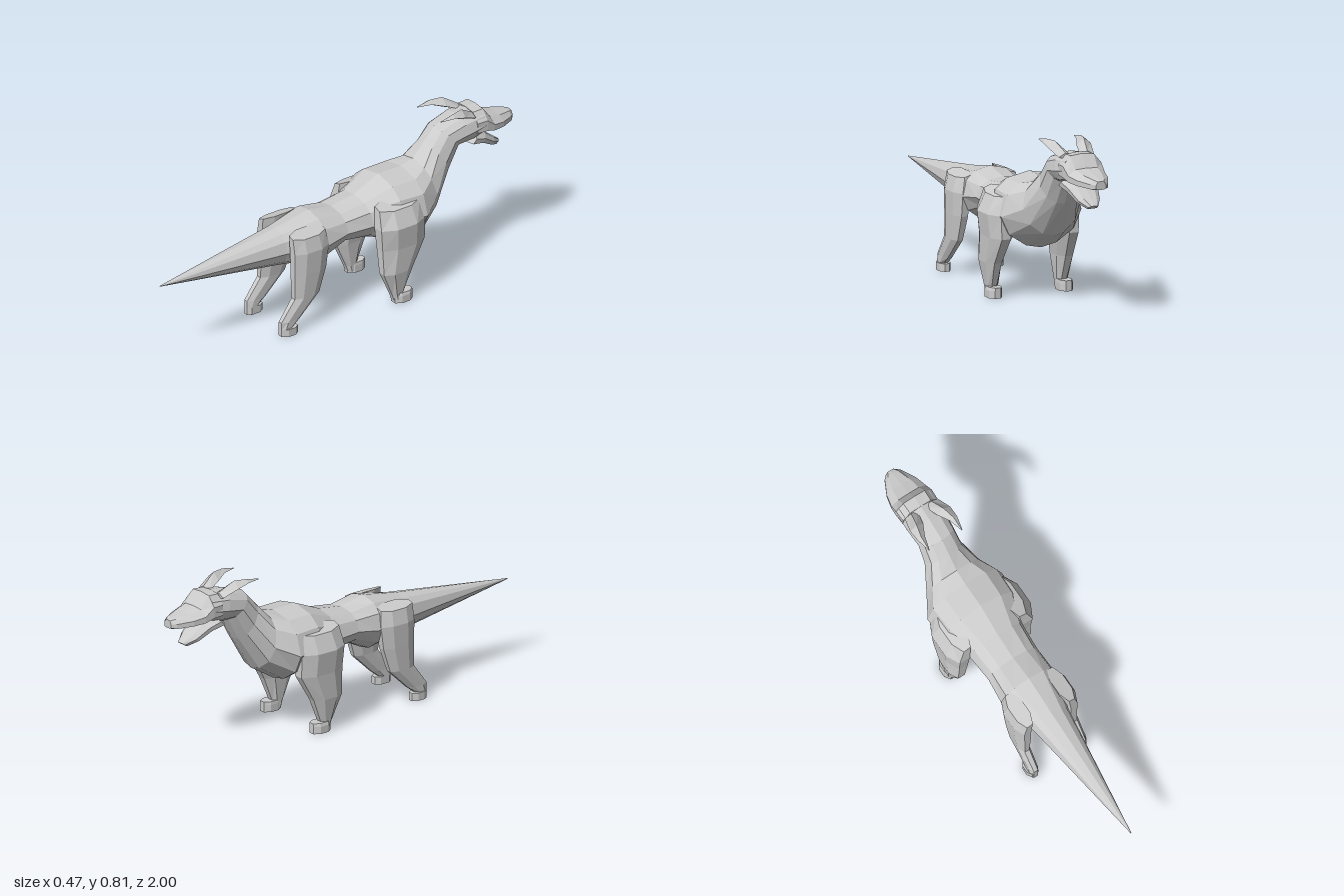
import * as THREE from 'three';

const material = new THREE.MeshStandardMaterial({
  color: 0xcccccc, flatShading: true, side: THREE.DoubleSide,
});

// Skin a list of equal-sized rings, cap both ends, and turn the faces outward.
function loft(rings) {
  const tris = [];
  const n = rings[0].length;
  for (let i = 0; i < rings.length - 1; i++) {
    for (let j = 0; j < n; j++) {
      const k = (j + 1) % n;
      const [a, b, c, d] = [rings[i][j], rings[i][k], rings[i + 1][k], rings[i + 1][j]];
      tris.push([a, b, c], [a, c, d]);
    }
  }
  const middle = (r) => r.reduce((s, p) => s.add(p), new THREE.Vector3()).divideScalar(n);
  const first = rings[0], last = rings[rings.length - 1];
  const m0 = middle(first), m1 = middle(last);
  for (let j = 0; j < n; j++) {
    const k = (j + 1) % n;
    tris.push([m0, first[k], first[j]], [m1, last[j], last[k]]);
  }
  let volume = 0;
  for (const [a, b, c] of tris) volume += a.dot(new THREE.Vector3().crossVectors(b, c));
  if (volume < 0) tris.forEach((t) => t.reverse());
  const geometry = new THREE.BufferGeometry().setFromPoints(tris.flat());
  geometry.computeVertexNormals();
  return geometry;
}

function part(name, rings) {
  const mesh = new THREE.Mesh(loft(rings), material);
  mesh.name = name;
  return mesh;
}

// Half outline of a section: [share of half width, share of height].
const ROUND = [[0, 1], [0.55, 0.93], [0.85, 0.78], [1, 0.48], [0.8, 0.22], [0.38, 0.05], [0, 0]];
const SNOUT = [[0, 1], [0.6, 0.95], [1, 0.55], [1, 0.1], [0.6, 0], [0, 0]];

// Section across the body, between a top and a bottom point, each [z, y].
function section(profile, [zt, yt, zb, yb, w]) {
  const point = ([u, v], s) =>
    new THREE.Vector3(s * u * w, yb + (yt - yb) * v, zb + (zt - zb) * v);
  const right = profile.map((p) => point(p, 1));
  const left = profile.slice(1, -1).reverse().map((p) => point(p, -1));
  return [...right, ...left];
}

// Level leg section: a chamfered rectangle.
function legRing(side, [y, z0, z1, x0, x1, slope = 0]) {
  const c = 0.28, dx = (x1 - x0) * c, dz = (z1 - z0) * c;
  return [
    [x0, z0 + dz], [x0 + dx, z0], [x1 - dx, z0], [x1, z0 + dz],
    [x1, z1 - dz], [x1 - dx, z1], [x0 + dx, z1], [x0, z1 - dz],
  ].map(([x, z]) => new THREE.Vector3(side * x, y - slope * (x - x0), z));
}

export function createModel() {
  const model = new THREE.Group();
  model.name = 'hornedCreature';

  // Tail, trunk, neck and skull in one skin: zTop, yTop, zBottom, yBottom, half width
  model.add(part('body', [
    [1, 0.397, 1, 0.393, 0.002],
    [0.34, 0.485, 0.34, 0.3, 0.095],
    [0.15, 0.52, 0.14, 0.265, 0.145],
    [0.02, 0.495, 0.02, 0.325, 0.135],
    [-0.11, 0.515, -0.13, 0.3, 0.145],
    [-0.25, 0.575, -0.25, 0.26, 0.2],
    [-0.38, 0.575, -0.38, 0.24, 0.205],
    [-0.45, 0.59, -0.51, 0.32, 0.145],
    [-0.51, 0.655, -0.62, 0.49, 0.098],
    [-0.57, 0.72, -0.68, 0.6, 0.092],
    [-0.68, 0.755, -0.75, 0.6, 0.098],
    [-0.8, 0.765, -0.805, 0.62, 0.098],
  ].map((s) => section(ROUND, s))));

  // Upper jaw
  model.add(part('snout', [
    [-0.75, 0.762, -0.75, 0.65, 0.095],
    [-0.805, 0.765, -0.805, 0.648, 0.098],
    [-0.85, 0.705, -0.85, 0.64, 0.094],
    [-0.91, 0.69, -0.91, 0.635, 0.08],
    [-0.98, 0.678, -0.98, 0.63, 0.045],
    [-1, 0.672, -1, 0.632, 0.025],
  ].map((s) => section(SNOUT, s))));

  // Lower jaw, hanging open
  model.add(part('lowerJaw', [
    [-0.77, 0.65, -0.73, 0.602, 0.085],
    [-0.83, 0.622, -0.79, 0.588, 0.075],
    [-0.89, 0.572, -0.86, 0.547, 0.055],
    [-0.93, 0.542, -0.905, 0.525, 0.025],
  ].map((s) => section(SNOUT, s))));

  for (const [side, label] of [[1, 'A'], [-1, 'B']]) {
    // Foreleg: y, z front, z rear, x inner, x outer, outward slope
    model.add(part('foreleg' + label, [
      [0.51, -0.36, -0.13, 0.11, 0.195, 0.35],
      [0.4, -0.37, -0.12, 0.11, 0.235],
      [0.29, -0.37, -0.13, 0.12, 0.225],
      [0.165, -0.3, -0.135, 0.14, 0.223],
      [0.04, -0.25, -0.19, 0.15, 0.205],
      [0.01, -0.25, -0.2, 0.15, 0.205],
    ].map((s) => legRing(side, s))));
    model.add(part('forefoot' + label, [
      [0.05, -0.3, -0.2, 0.15, 0.21],
      [0.035, -0.3, -0.2, 0.148, 0.215],
      [0, -0.3, -0.2, 0.148, 0.215],
    ].map((s) => legRing(side, s))));

    // Hind leg
    model.add(part('hindLeg' + label, [
      [0.49, 0.15, 0.335, 0.08, 0.15, 0.3],
      [0.4, 0.14, 0.335, 0.085, 0.168],
      [0.29, 0.155, 0.335, 0.09, 0.165],
      [0.17, 0.195, 0.335, 0.103, 0.16],
      [0.07, 0.3, 0.41, 0.108, 0.155],
      [0.035, 0.345, 0.41, 0.108, 0.155],
      [0, 0.35, 0.41, 0.108, 0.155],
    ].map((s) => legRing(side, s))));
    model.add(part('hindFoot' + label, [
      [0.037, 0.32, 0.405, 0.108, 0.163],
      [0, 0.32, 0.405, 0.108, 0.163],
    ].map((s) => legRing(side, s))));

    // Swept-back horn: centre x, y, z and half width, half height
    model.add(part('horn' + label, [
      [0.055, 0.745, -0.745, 0.035, 0.015],
      [0.074, 0.781, -0.67, 0.036, 0.025],
      [0.088, 0.792, -0.61, 0.02, 0.012],
      [0.09, 0.788, -0.54, 0.002, 0.002],
    ].map(([x, y, z, w, h]) => [[-1, -0.4], [0, 1], [1, -0.2], [0, -1]].map(
      ([u, v]) => new THREE.Vector3(side * (x + u * w), y + v * h, z)))));
  }
  return model;
}
